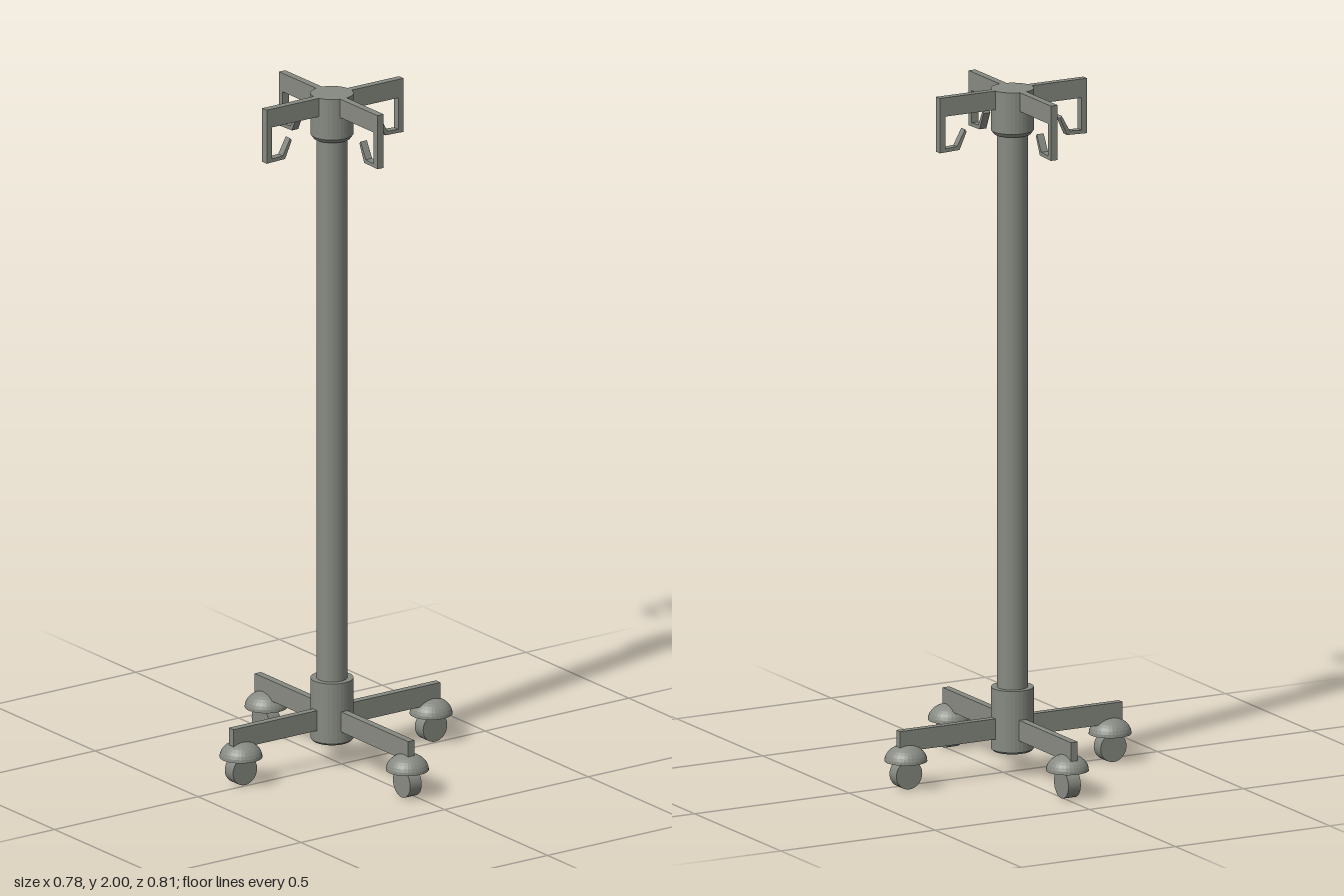
import * as THREE from 'three';

const CX = -0.015, CZ = -0.026; // pole axis
const metal = new THREE.MeshStandardMaterial({ color: 0x878a82 });
metal.name = 'grey metal';

function mesh(name, geometry, x = 0, y = 0, z = 0) {
  const m = new THREE.Mesh(geometry, metal);
  m.name = name;
  m.position.set(x, y, z);
  return m;
}

// Closed turned solid; repeated points keep the edges sharp
function turned(points, segments = 32) {
  const pts = [];
  points.forEach(([r, y]) => pts.push(new THREE.Vector2(r, y)));
  const g = new THREE.LatheGeometry(pts, segments).toNonIndexed();
  g.computeVertexNormals();
  return g;
}

// Flat arm with a bent hook hanging from its end, reaching along +x
function hookGeometry() {
  const shape = new THREE.Shape([
    [0, 2], [0.24, 2], [0.24, 1.84], [0.176, 1.842], [0.153, 1.893],
    [0.158, 1.9], [0.184, 1.853], [0.222, 1.851], [0.222, 1.945], [0, 1.945],
  ].map(([x, y]) => new THREE.Vector2(x, y)));
  const g = new THREE.ExtrudeGeometry(shape, { depth: 0.022, bevelEnabled: false });
  g.translate(0, 0, -0.011);
  return g;
}

// Domed cover over a single wheel that rolls along the arm
function caster(x) {
  const group = new THREE.Group();
  group.name = 'caster';
  group.position.x = x;
  const profile = [[0, 0.08], [0.061, 0.08]];
  for (let i = 1; i <= 8; i++) {
    const a = (i / 8) * Math.PI / 2;
    profile.push([i === 8 ? 0 : 0.061 * Math.cos(a), 0.08 + 0.047 * Math.sin(a)]);
  }
  group.add(mesh('casterDome', turned(profile)));
  const wheel = new THREE.CylinderGeometry(0.042, 0.042, 0.04, 28);
  wheel.rotateX(Math.PI / 2);
  group.add(mesh('casterWheel', wheel, 0, 0.047, 0));
  return group;
}

export function createModel() {
  const model = new THREE.Group();
  model.name = 'wheeledStand';

  // Pole and its two hubs
  const column = new THREE.Group();
  column.name = 'column';
  column.position.set(CX, 0, CZ);
  column.add(mesh('pole', new THREE.CylinderGeometry(0.044, 0.044, 1.7, 32), 0, 1.06, 0));
  column.add(mesh('baseHub', turned([[0, 0.07], [0.055, 0.07], [0.061, 0.076], [0.061, 0.255], [0, 0.255]])));
  column.add(mesh('topHub', turned([[0, 1.868], [0.053, 1.868], [0.061, 1.879], [0.061, 2], [0, 2]])));
  model.add(column);

  // Four sides: direction, base arm length, caster distance, hook side shift
  const hook = hookGeometry();
  const sides = [
    ['left', 0, 0.37, 0.345, 0.002],
    ['back', Math.PI / 2, 0.36, 0.32, -0.002],
    ['right', Math.PI, 0.351, 0.317, -0.007],
    ['front', -Math.PI / 2, 0.385, 0.366, 0.003],
  ];
  for (const [name, angle, length, casterAt, shift] of sides) {
    const side = new THREE.Group();
    side.name = name + 'Side';
    side.position.set(CX, 0, CZ);
    side.rotation.y = angle;
    side.add(mesh('baseArm', new THREE.BoxGeometry(length, 0.06, 0.022), length / 2, 0.14, 0));
    side.add(caster(casterAt));
    side.add(mesh('hook', hook, 0, 0, shift));
    model.add(side);
  }
  // Lowest wheels touch the ground
  model.traverse((o) => { if (o.name === 'casterWheel') o.position.y = 0.0425; });
  return model;
}
